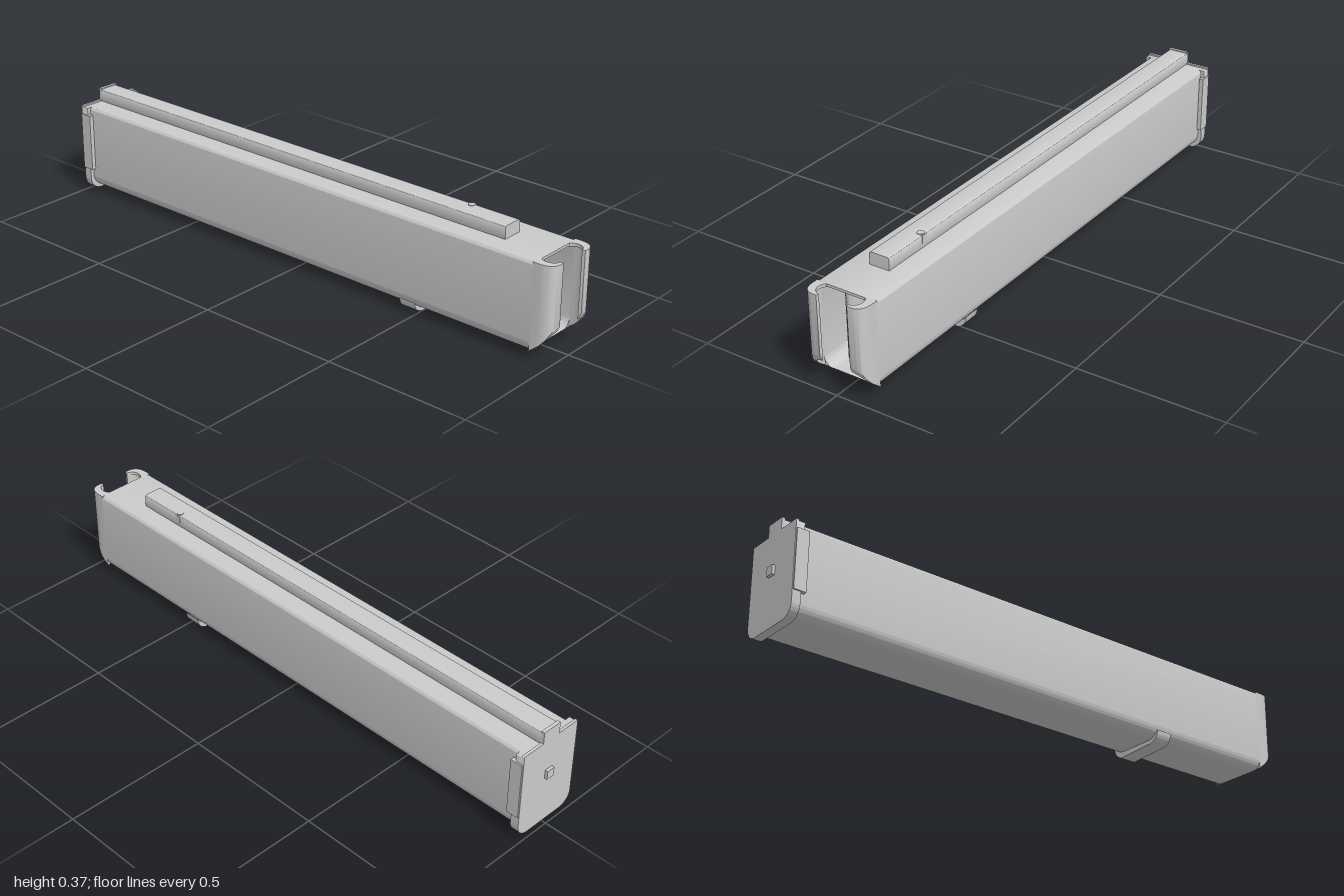
import * as THREE from 'three';
import { toCreasedNormals } from 'three/addons/utils/BufferGeometryUtils.js';

const material = new THREE.MeshStandardMaterial({ color: 0xcccccc, side: THREE.DoubleSide });

// Upright section with small top corners and large rounded bottom corners
function section(w, y0, y1, rTop, rBottom, Type = THREE.Shape) {
  const s = new Type();
  s.moveTo(-w + rBottom, y0);
  s.lineTo(w - rBottom, y0);
  s.absarc(w - rBottom, y0 + rBottom, rBottom, -Math.PI / 2, 0, false);
  s.lineTo(w, y1 - rTop);
  s.absarc(w - rTop, y1 - rTop, rTop, 0, Math.PI / 2, false);
  s.lineTo(-w + rTop, y1);
  s.absarc(-w + rTop, y1 - rTop, rTop, Math.PI / 2, Math.PI, false);
  s.lineTo(-w, y0 + rBottom);
  s.absarc(-w + rBottom, y0 + rBottom, rBottom, Math.PI, Math.PI * 1.5, false);
  return s;
}

function extrudeZ(shape, z0, z1) {
  const g = new THREE.ExtrudeGeometry(shape, { depth: z1 - z0, bevelEnabled: false, curveSegments: 10 });
  return g.translate(0, 0, z0);
}

// Shape drawn as a plan (x, z), extruded from y0 up to y1
function extrudeY(shape, y0, y1) {
  const g = new THREE.ExtrudeGeometry(shape, { depth: y1 - y0, bevelEnabled: false, curveSegments: 10 });
  return g.rotateX(Math.PI / 2).translate(0, y1, 0);
}

// Slanted, rounded cut across the lower front corner: matching z and y
const cut = [[0.915, 0.02], [0.94, 0.038], [0.965, 0.06], [0.985, 0.085], [1.0, 0.115]];
function cutLookup(value, from, to) {
  if (value <= cut[0][from]) return cut[0][to];
  for (let i = 1; i < cut.length; i++) {
    const a = cut[i - 1], b = cut[i];
    if (value <= b[from]) return a[to] + (b[to] - a[to]) * (value - a[from]) / (b[from] - a[from]);
  }
  return cut[cut.length - 1][to];
}

function moveVertices(g, rule) {
  const p = g.attributes.position;
  const v = new THREE.Vector3();
  for (let i = 0; i < p.count; i++) {
    v.fromBufferAttribute(p, i);
    rule(v);
    p.setXYZ(i, v.x, v.y, v.z);
  }
  return g;
}

export function createModel() {
  const model = new THREE.Group();
  const add = (name, geometry) => {
    const mesh = new THREE.Mesh(toCreasedNormals(geometry, 0.6), material);
    mesh.name = name;
    model.add(mesh);
    return mesh;
  };
  const box = (name, x0, x1, y0, y1, z0, z1) => add(name,
    new THREE.BoxGeometry(x1 - x0, y1 - y0, z1 - z0)
      .translate((x0 + x1) / 2, (y0 + y1) / 2, (z0 + z1) / 2));

  // Long hollow body
  const tube = section(0.107, 0.02, 0.32, 0.012, 0.045);
  tube.holes.push(section(0.096, 0.032, 0.311, 0.015, 0.036, THREE.Path));
  add('body', moveVertices(extrudeZ(tube, -0.98, 0.935), v => {
    if (v.z > 0) v.z = Math.min(0.935, cutLookup(v.y, 1, 0));
  }));

  // Walls curling inward at the open front
  for (const s of [-1, 1]) {
    const lip = new THREE.Shape();
    lip.moveTo(s * 0.107, 0.93);
    lip.lineTo(s * 0.107, 0.955);
    lip.quadraticCurveTo(s * 0.105, 0.998, s * 0.07, 1.0);
    lip.lineTo(s * 0.055, 1.0);
    lip.lineTo(s * 0.053, 0.99);
    lip.quadraticCurveTo(s * 0.078, 0.985, s * 0.08, 0.96);
    lip.quadraticCurveTo(s * 0.08, 0.937, s * 0.06, 0.93);
    // Top web of the lip
    add('lipTop', extrudeY(lip, 0.309, 0.32));
    const wall = new THREE.Shape();
    wall.moveTo(s * 0.107, 0.93);
    wall.lineTo(s * 0.107, 0.955);
    wall.quadraticCurveTo(s * 0.105, 0.998, s * 0.07, 1.0);
    wall.lineTo(s * 0.055, 1.0);
    wall.lineTo(s * 0.053, 0.99);
    wall.lineTo(s * 0.068, 0.988);
    wall.quadraticCurveTo(s * 0.094, 0.985, s * 0.096, 0.95);
    wall.lineTo(s * 0.096, 0.93);
    add('lipWall', moveVertices(extrudeY(wall, 0, 0.314), v => {
      if (v.y < 0.1) v.y = cutLookup(v.z, 0, 1);
    }));
  }

  // Follower inside the mouth, with a wavy front
  const follower = new THREE.Shape();
  follower.moveTo(0.078, 0.72);
  follower.lineTo(0.078, 0.84);
  follower.splineThru([[0.045, 0.865], [0.0, 0.85], [-0.045, 0.875], [-0.092, 0.83]]
    .map(([x, z]) => new THREE.Vector2(x, z)));
  follower.lineTo(-0.092, 0.72);
  add('follower', extrudeY(follower, 0.036, 0.298));

  // Top rail
  add('rail', extrudeZ(section(0.036, 0.315, 0.363, 0.008, 0.001), -0.98, 0.78));
  const rivet = new THREE.CylinderGeometry(0.012, 0.012, 0.006, 12).translate(0.024, 0.362, 0.61);
  add('railCatch', rivet);
  box('railCatchTab', 0.03, 0.038, 0.335, 0.362, 0.6, 0.62);

  // End plate with its tab over the rail
  add('endPlate', extrudeZ(section(0.12, 0.01, 0.325, 0.002, 0.045), -0.99, -0.98));
  box('endPlateTab', -0.036, 0.036, 0.32, 0.366, -0.99, -0.978);

  // Rim wrapping the sides and bottom of the body
  const rim = section(0.12, 0.01, 0.32, 0.002, 0.045);
  rim.holes.push(section(0.106, 0.021, 0.318, 0.002, 0.044, THREE.Path));
  add('endRim', extrudeZ(rim, -0.982, -0.96));
  for (const s of [-1, 1]) {
    const x = [s * 0.11, s * 0.125].sort((a, b) => a - b);
    box('sideTab', x[0], x[1], 0.093, 0.294, -0.988, -0.945);
  }

  // Catch on the end plate
  box('endCatch', -0.015, 0.015, 0.182, 0.213, -1.0, -0.985);

  // Stop band hugging the underside
  const band = new THREE.Shape();
  band.moveTo(-0.107, 0.045);
  band.quadraticCurveTo(-0.106, 0.012, -0.07, 0.006);
  band.lineTo(0.075, 0.0);
  band.quadraticCurveTo(0.106, 0.012, 0.107, 0.045);
  band.quadraticCurveTo(0.095, 0.026, 0.062, 0.022);
  band.lineTo(-0.062, 0.022);
  band.quadraticCurveTo(-0.095, 0.026, -0.107, 0.045);
  add('stopBand', extrudeZ(band, 0.445, 0.505));

  return model;
}
